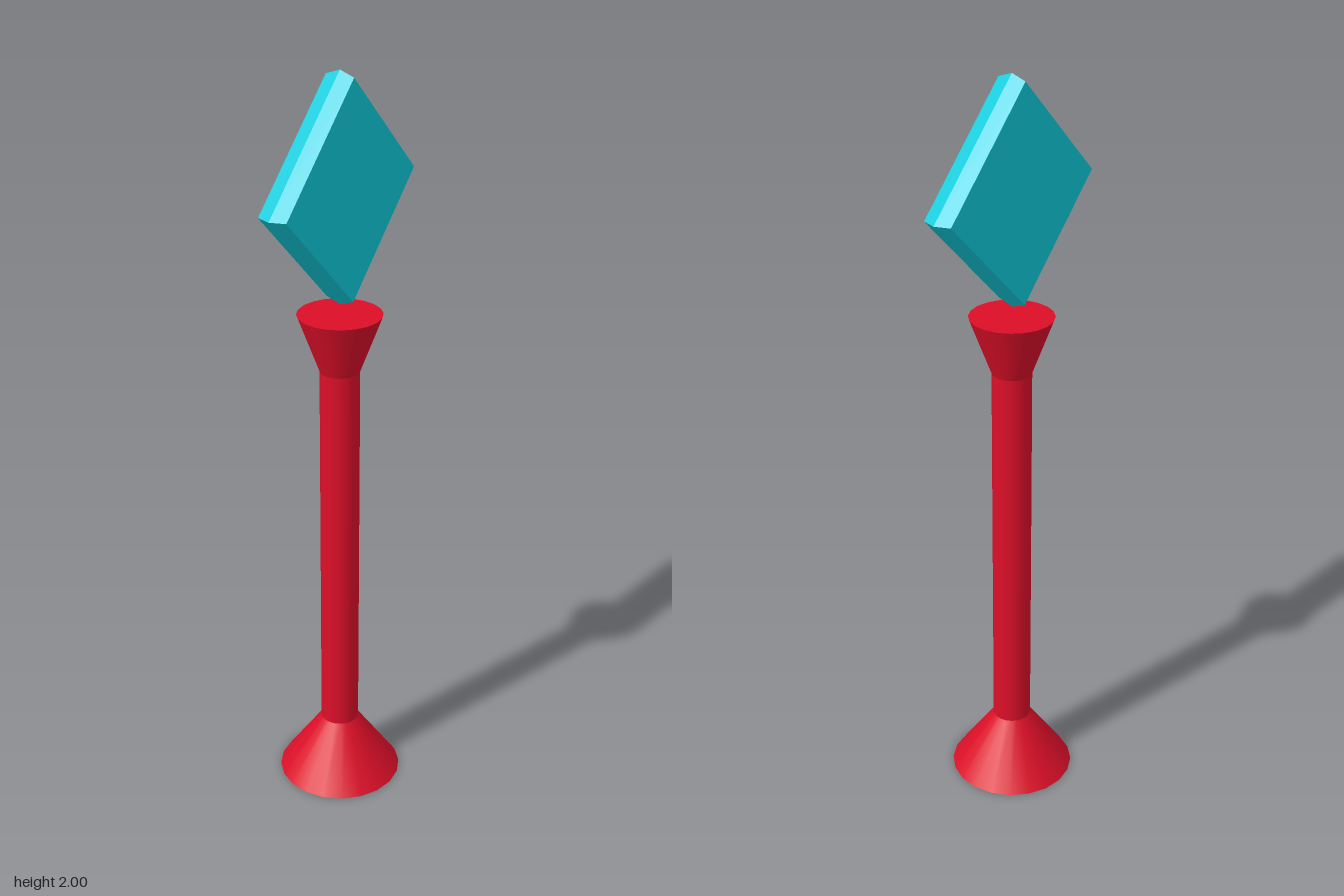
import * as THREE from 'three';

const SIDES = 20;

export function createModel() {
  const model = new THREE.Group();
  model.name = 'pedestalWithDiamond';

  const red = new THREE.MeshStandardMaterial({ color: 0xdc0f28, side: THREE.DoubleSide });
  const teal = new THREE.MeshStandardMaterial({ color: 0x0fcbdb, flatShading: true });

  const add = (name, geometry, material) => {
    const mesh = new THREE.Mesh(geometry, material);
    mesh.name = name;
    model.add(mesh);
    return mesh;
  };

  // Hollow pedestal: open flared foot, slim shaft, flared head
  const sections = [
    ['foot', 0.17, 0, 0.052, 0.17],
    ['shaft', 0.052, 0.17, 0.052, 1.235],
    ['head', 0.052, 1.235, 0.11, 1.39],
  ];
  for (const [name, r0, y0, r1, y1] of sections) {
    const tube = new THREE.CylinderGeometry(r1, r0, y1 - y0, SIDES, 1, true);
    add(name, tube.translate(0, (y0 + y1) / 2, 0), red);
  }

  // Flat lid closing the head
  const lid = new THREE.CircleGeometry(0.11, SIDES).rotateX(-Math.PI / 2);
  add('headLid', lid.translate(0, 1.39, 0), red);

  // Floating square plate standing on a corner, its rim ridged along the middle
  const profile = [[0, -0.04], [0.278, -0.04], [0.292, 0], [0.278, 0.04], [0, 0.04]]
    .map(([r, h]) => new THREE.Vector2(r, h));
  const plate = new THREE.LatheGeometry(profile, 4).rotateZ(Math.PI / 2);
  add('diamondPlate', plate.translate(0, 1.708, 0), teal);

  return model;
}
